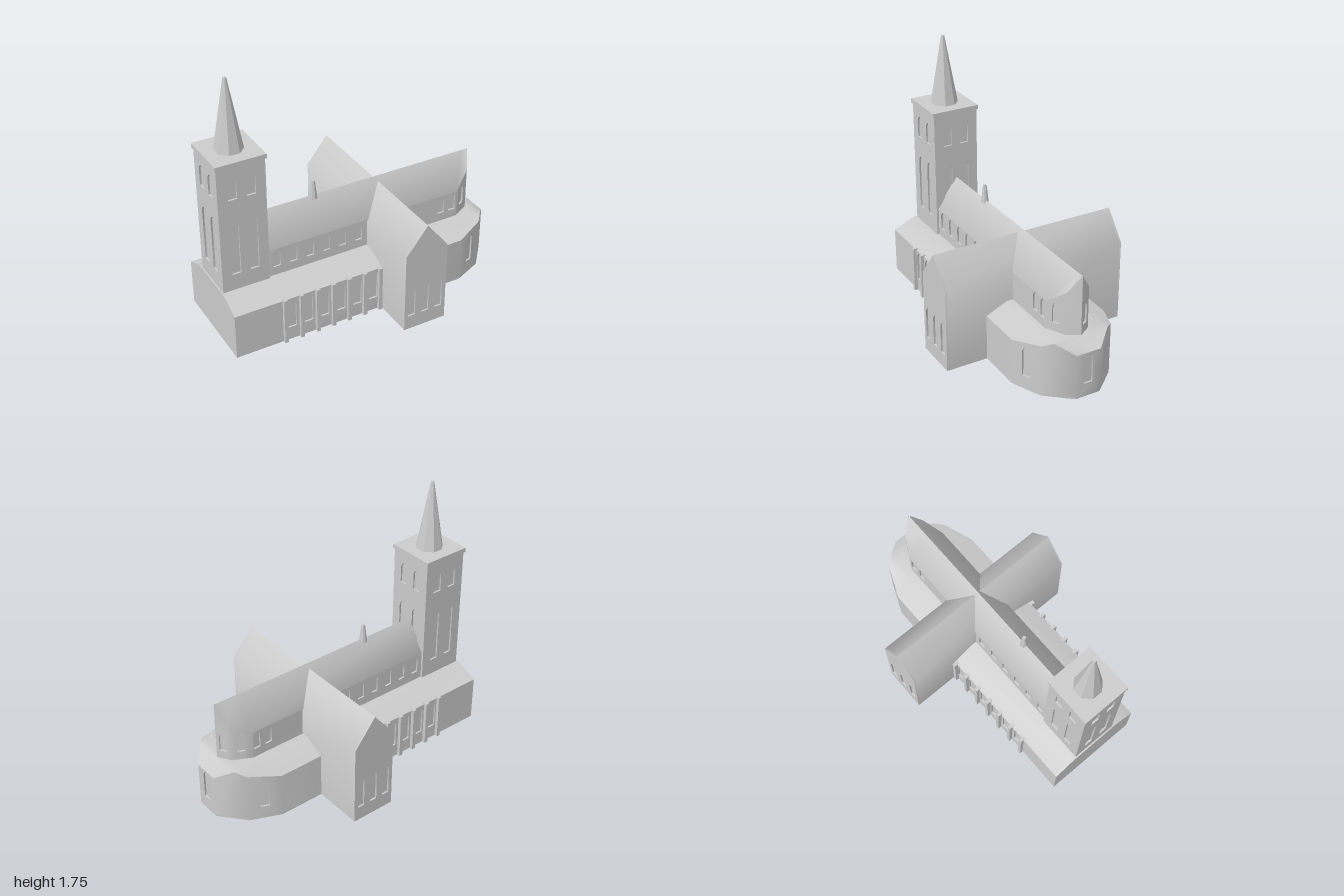
import * as THREE from 'three';
import { mergeGeometries, toCreasedNormals } from 'three/addons/utils/BufferGeometryUtils.js';

const D = 0.012;       // window recess
const AXIS = 0.027;    // z of the long axis

const stone = new THREE.MeshStandardMaterial({ color: 0xcccccc });
stone.name = 'stone';

function mesh(name, geometry, parent) {
  const m = new THREE.Mesh(geometry, stone);
  m.name = name;
  parent.add(m);
  return m;
}

// Pointed window outline
function lancet({ u, y0, y1, w }) {
  return [
    [-w / 2, y0], [w / 2, y0], [w / 2, y1 - 0.6 * w], [0.3 * w, y1 - 0.25 * w],
    [0, y1], [-0.3 * w, y1 - 0.25 * w], [-w / 2, y1 - 0.6 * w],
  ].map(([x, y]) => new THREE.Vector2(u + x, y));
}

// Upright wall from a to b (plan [x, z]); top is [fraction, height] points, windows are recessed
function wall(a, b, top, windows = []) {
  const dir = new THREE.Vector3(b[0] - a[0], 0, b[1] - a[1]);
  const len = dir.length();
  dir.normalize();
  const up = new THREE.Vector3(0, 1, 0);
  const out = dir.clone().cross(up);
  const pts = [[0, 0], [len, 0], ...top.map(([f, y]) => [f * len, y]).reverse()];
  const shape = new THREE.Shape(pts.map(p => new THREE.Vector2(...p)));
  const parts = [];
  for (const win of windows) {
    const outline = lancet(win);
    shape.holes.push(new THREE.Path(outline));
    parts.push(new THREE.ShapeGeometry(new THREE.Shape(outline)).toNonIndexed());
  }
  parts.push(new THREE.ExtrudeGeometry(shape, { depth: D, bevelEnabled: false }));
  const m = new THREE.Matrix4().makeBasis(dir, up, out)
    .setPosition(a[0] - out.x * D, 0, a[1] - out.z * D);
  return parts.map(g => g.applyMatrix4(m));
}

// Roof surface through cross-sections { x, pts: [z, y] from +z to -z }
function roof(sections) {
  const pos = [];
  const tri = new THREE.Triangle();
  const v = (s, j) => new THREE.Vector3(s.x, s.pts[j][1], s.pts[j][0]);
  const add = (a, b, c) => {
    if (tri.set(a, b, c).getArea() > 1e-7) for (const p of [a, b, c]) pos.push(p.x, p.y, p.z);
  };
  for (let i = 0; i < sections.length - 1; i++) {
    const s = sections[i], t = sections[i + 1];
    for (let j = 0; j < s.pts.length - 1; j++) {
      add(v(s, j), v(t, j), v(t, j + 1));
      add(v(s, j), v(t, j + 1), v(s, j + 1));
    }
  }
  const g = new THREE.BufferGeometry();
  g.setAttribute('position', new THREE.Float32BufferAttribute(pos, 3));
  return [g];
}

// Join pieces, smoothing gentle folds and keeping corners sharp
function join(parts) {
  for (const g of parts) {
    g.deleteAttribute('uv');
    g.deleteAttribute('normal');
  }
  const g = mergeGeometries(parts).scale(100, 100, 100).translate(0.005, 0.005, 0.005);
  return toCreasedNormals(g, 0.75).translate(-0.005, -0.005, -0.005).scale(0.01, 0.01, 0.01);
}

const flat = (h0, h1 = h0) => [[0, h0], [1, h1]];
const flip = top => top.map(([f, y]) => [1 - f, y]).reverse();
const dist = (a, b) => Math.hypot(a[0] - b[0], a[1] - b[1]);
const bays = [-0.61, -0.492, -0.374, -0.256, -0.138, -0.02];

function buildAisles(church) {
  const W = 0.335, R = 0.19, yr = 0.38;
  const plan = [[-1, W], [0.66, W], [0.86, 0.25], [1, 0.085]];
  const h = w => yr - (w - R) * (yr - 0.315) / (W - R);
  const tall = u => ({ u, y0: 0.093, y1: 0.305, w: 0.06 });
  const tops = [flat(0.315), flat(0.315, h(0.25)), [[0, h(0.25)], [0.364, yr], [1, 0.31]]];
  const parts = [];
  for (let i = 0; i < 3; i++) {
    const a = plan[i], b = plan[i + 1], len = dist(a, b);
    const us = i === 0 ? bays.map(x => x - a[0]) : i === 1 ? [len / 2] : [];
    parts.push(...wall(a, b, tops[i], us.map(tall)));
    parts.push(...wall([b[0], -b[1]], [a[0], -a[1]], flip(tops[i]), us.map(u => tall(len - u))));
  }
  parts.push(...wall([1, 0.085], [1, -0.085], flat(0.31), [tall(0.085)]));
  const f = (W - R) / (2 * W);
  parts.push(...wall([-1, -W], [-1, W], [[0, 0.315], [f, yr], [1 - f, yr], [1, 0.315]]));
  const section = (x, w, y, r, ry) => ({ x, pts: [[w, y], [r, ry], [-r, ry], [-w, y]] });
  parts.push(...roof([
    section(-1, W, 0.315, R, yr), section(0.66, W, 0.315, R, yr),
    section(0.86, 0.25, h(0.25), R, yr), section(0.911, R, yr, R, yr),
    section(1, 0.085, 0.31, 0.085, 0.31),
  ]));
  mesh('aislesAndApse', join(parts), church);

  // Ground slab
  const outline = [...plan, ...plan.map(([x, z]) => [x, -z]).reverse()];
  const slab = new THREE.ExtrudeGeometry(
    new THREE.Shape(outline.map(([x, z]) => new THREE.Vector2(x, z))), { depth: 0.01, bevelEnabled: false });
  mesh('floor', slab.rotateX(Math.PI / 2).translate(0, 0.01, 0), church);

  // Buttresses between the aisle windows
  for (const side of [1, -1]) {
    for (let i = 0; i < 7; i++) {
      const b = mesh('buttress', new THREE.BoxGeometry(0.025, 0.325, 0.04), church);
      b.position.set(-0.662 + i * 0.1145, 0.1625, side * 0.339);
    }
  }
}

function buildNave(church) {
  const W = 0.145, eave = 0.575, ridge = 0.785;
  const h = w => ridge - w * (ridge - eave) / W;
  const plan = [[-0.68, W], [0.74, W], [0.86, 0.08], [0.91, 0]];
  const small = (u, y1 = 0.57) => ({ u, y0: 0.44, y1, w: 0.05 });
  const parts = [];
  for (let i = 0; i < 3; i++) {
    const a = plan[i], b = plan[i + 1], len = dist(a, b), mid = len / 2;
    const top = flat(h(a[1]), h(b[1]));
    const us = [...bays, 0.615, 0.702].map(x => x - a[0]);
    const front = [us.map(u => small(u)), [small(mid, 0.585)], []][i];
    const back = [us.map(u => small(len - u)), [small(mid, 0.585)], [small(mid, 0.585)]][i];
    parts.push(...wall(a, b, top, front));
    parts.push(...wall([b[0], -b[1]], [a[0], -a[1]], flip(top), back));
  }
  parts.push(...roof(plan.map(([x, w]) => ({ x, pts: [[w, h(w)], [0, ridge], [-w, h(w)]] }))));
  mesh('nave', join(parts), church);

  // Ridge turret
  const turret = new THREE.CylinderGeometry(0.012, 0.027, 0.13, 8).toNonIndexed();
  turret.computeVertexNormals();
  mesh('ridgeTurret', turret, church).position.set(-0.27, 0.827, 0);
}

function buildTransept(church) {
  const x0 = 0.043, x1 = 0.347, eave = 0.565, top = 0.755;
  const z0 = -0.647 - AXIS, z1 = 0.647 - AXIS;
  const gable = [[0, eave], [0.5, top], [1, eave]];
  const xm = (x0 + x1) / 2;
  const shape = new THREE.Shape([[x0, 0], [x1, 0], [x1, eave], [xm, top], [x0, eave]]
    .map(p => new THREE.Vector2(...p)));
  const body = new THREE.ExtrudeGeometry(shape, { depth: z1 - z0 - 2 * D, bevelEnabled: false });
  mesh('transept', join([body.translate(0, 0, z0 + D)]), church);
  const windows = [-0.1, 0, 0.1].map(o => ({ u: (x1 - x0) / 2 + o, y0: 0.1, y1: 0.325, w: 0.05 }));
  mesh('transeptFront', join(wall([x0, z1], [x1, z1], gable, windows)), church);
  mesh('transeptBack', join(wall([x1, z0], [x0, z0], gable, windows)), church);
}

function buildTower(church) {
  const tower = new THREE.Group();
  tower.name = 'tower';
  tower.position.x = -0.83;
  church.add(tower);
  const c = 0.16, H = 1.26;
  const windows = [-0.0625, 0.0625].flatMap(o => [
    { u: c + o, y0: 0.495, y1: 0.89, w: 0.06 },
    { u: c + o, y0: 1.03, y1: 1.185, w: 0.06 },
  ]);
  const corners = [[-c, c], [c, c], [c, -c], [-c, -c]];
  corners.forEach((p, i) => {
    mesh('towerWall', join(wall(p, corners[(i + 1) % 4], flat(H), windows)), tower);
  });
  mesh('towerCornice', new THREE.BoxGeometry(0.336, 0.03, 0.338), tower).position.y = 1.27;

  // Eight-sided spire
  const spire = new THREE.CylinderGeometry(0.011, 0.092, 0.47, 8).rotateY(Math.PI / 8).toNonIndexed();
  spire.computeVertexNormals();
  mesh('spire', spire, tower).position.y = 1.52;
}

export function createModel() {
  const model = new THREE.Group();
  model.name = 'church';
  const church = new THREE.Group();
  church.name = 'building';
  church.position.z = AXIS;
  model.add(church);
  buildAisles(church);
  buildNave(church);
  buildTransept(church);
  buildTower(church);
  return model;
}
